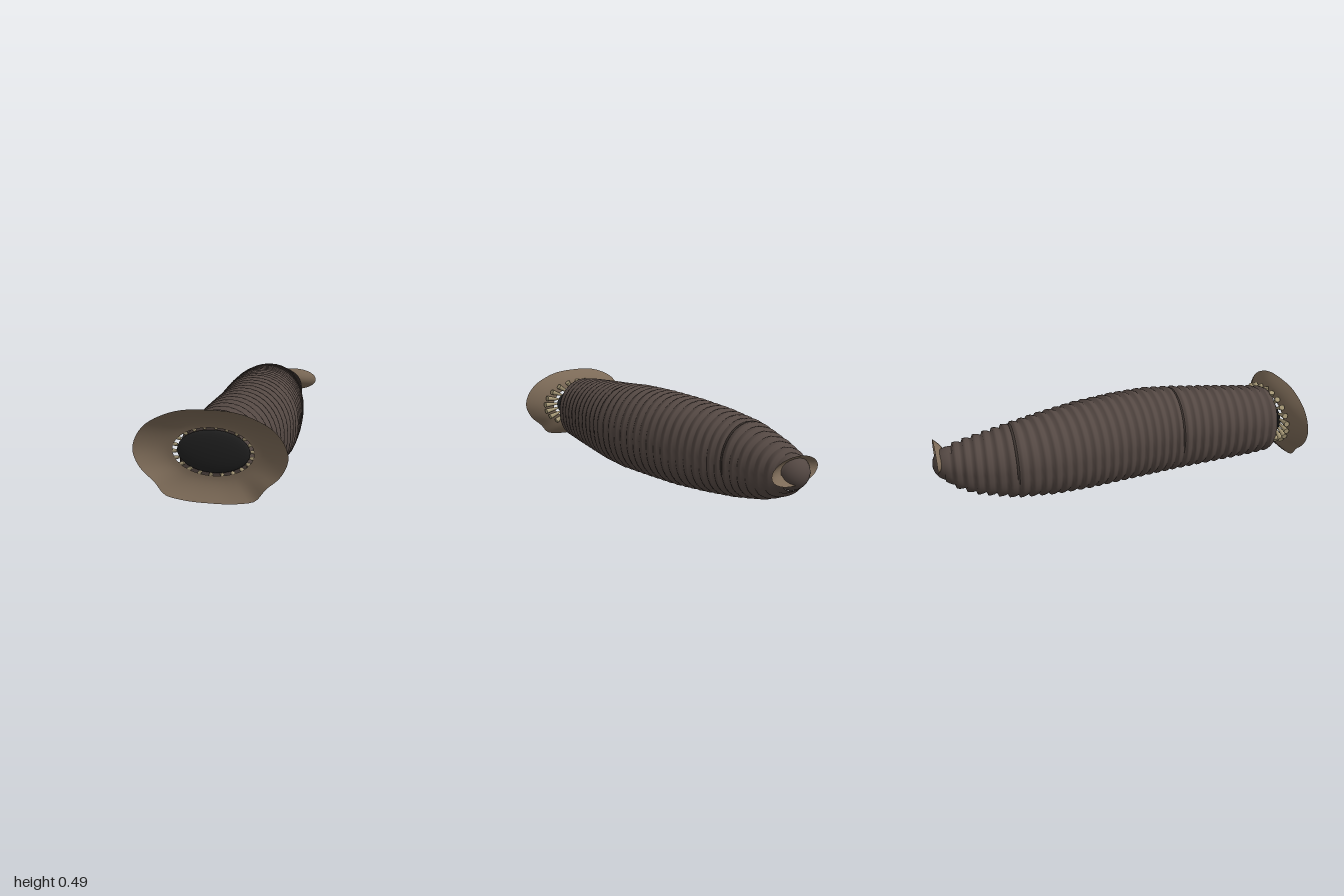
import * as THREE from 'three';

const mat = (name, color, side = THREE.FrontSide) => {
  const m = new THREE.MeshStandardMaterial({ color, side });
  m.name = name;
  return m;
};

// Body profile stations: z, centre x, half width, bottom y, top y
const STATIONS = [
  [0.93, 0, 0.165, 0.045, 0.41], [0.8, 0, 0.185, 0.035, 0.43], [0.6, 0.01, 0.2, 0.022, 0.45],
  [0.35, 0.023, 0.215, 0.006, 0.472], [0.2, 0.02, 0.222, 0, 0.485], [0, 0, 0.224, 0, 0.485],
  [-0.2, -0.025, 0.222, 0, 0.475], [-0.4, -0.053, 0.208, 0.01, 0.455], [-0.6, -0.07, 0.184, 0.03, 0.425],
  [-0.8, -0.057, 0.146, 0.075, 0.375], [-0.9, -0.048, 0.115, 0.12, 0.345], [-0.96, -0.045, 0.075, 0.175, 0.315],
];

function station(z) {
  let i = 0;
  while (i < STATIONS.length - 2 && z < STATIONS[i + 1][0]) i++;
  const a = STATIONS[i], b = STATIONS[i + 1];
  const t = THREE.MathUtils.clamp((z - a[0]) / (b[0] - a[0]), 0, 1);
  return a.map((v, k) => v + (b[k] - v) * t);
}

// Skin closed loops (counter-clockwise from the front) running towards -z
function loft(loops, capped = false) {
  const n = loops[0].length, pos = loops.flat(2), index = [];
  for (let r = 0; r < loops.length - 1; r++) {
    for (let i = 0; i < n; i++) {
      const j = (i + 1) % n, a = r * n + i, b = r * n + j, c = a + n, d = b + n;
      index.push(a, c, b, b, c, d);
    }
  }
  if (capped) {
    // separate vertices keep the front cap edge sharp
    const base = pos.length / 3;
    loops[0].forEach((p) => pos.push(...p));
    for (let i = 1; i < n - 1; i++) index.push(base, base + i, base + i + 1);
  }
  const g = new THREE.BufferGeometry();
  g.setAttribute('position', new THREE.Float32BufferAttribute(pos, 3));
  g.setIndex(index);
  g.computeVertexNormals();
  return g;
}

// Ringed body: sawtooth ridges set square to the curved centreline
function bodyGeometry() {
  const loops = [], rings = 36, front = 0.922, back = -0.95, sides = 40;
  const step = (front - back) / rings;
  const saw = [[0, 0.017], [0.25, 0.009], [0.6, 0.002], [0.85, 0]];
  for (let r = 0; r < rings; r++) {
    for (const [f, cut] of saw) {
      const z = front - (r + f) * step;
      const [, cx, hw, lo, hi] = station(z);
      const slope = (station(z + 0.12)[1] - station(z - 0.12)[1]) / 0.24;
      const loop = [];
      for (let i = 0; i < sides; i++) {
        const a = (i / sides) * Math.PI * 2, c = Math.cos(a), s = Math.sin(a);
        const p = s < 0 ? 0.78 : 1; // flatter belly
        const w = hw - cut, h = (hi - lo) / 2 - cut;
        const x = w * Math.sign(c) * Math.abs(c) ** p;
        const y = (lo + hi) / 2 + h * Math.sign(s) * Math.abs(s) ** p;
        loop.push([cx + x, Math.max(0, y), z - slope * x]);
      }
      loops.push(loop);
    }
  }
  return loft(loops, true);
}

// Narrow dark-looking joint grooves are formed as thin bands around the body
function jointGeometry(z) {
  const [, cx, hw, lo, hi] = station(z);
  const g = new THREE.TorusGeometry(1, 0.02, 6, 40);
  g.scale(hw - 0.012, (hi - lo) / 2 - 0.012, 0.35);
  g.translate(cx, (lo + hi) / 2, z);
  return g;
}

// Flared cup between an inner ellipse and a rim outline
function cupGeometry(rim, cx, cy, rx, ry, zIn, zRim) {
  const loops = [], rows = 8;
  for (let r = 0; r <= rows; r++) {
    const t = r / rows;
    loops.push(rim.map(([x, y]) => {
      const a = Math.atan2((y - cy) / ry, (x - cx) / rx);
      return [
        THREE.MathUtils.lerp(cx + rx * Math.cos(a), x, t),
        THREE.MathUtils.lerp(cy + ry * Math.sin(a), y, t),
        zIn + (zRim - zIn) * t ** 1.7,
      ];
    }));
  }
  return loft(zRim > zIn ? loops.reverse() : loops);
}

export function createModel() {
  const model = new THREE.Group();
  model.name = 'ringedWorm';
  const skin = mat('darkBrownSkin', 0x544843);
  const groove = mat('grooveBrown', 0x3a322e);
  const sucker = mat('tanSucker', 0x7d6b58, THREE.DoubleSide);
  const ivory = mat('ivoryTeeth', 0xa89a78);
  const dark = mat('mouthBlack', 0x222222);
  const add = (name, geometry, material, parent = model) => {
    const m = new THREE.Mesh(geometry, material);
    m.name = name;
    parent.add(m);
    return m;
  };

  add('body', bodyGeometry(), skin);
  for (const z of [0.34, -0.59]) add('segmentJoint', jointGeometry(z), groove);

  // Rounded tail end
  const tail = add('tailTip', new THREE.SphereGeometry(0.088, 28, 18), skin);
  tail.position.set(-0.048, 0.243, -0.912);

  // Front sucker, with a pinched lower lip
  const half = [[0.12, 0.453], [0.2, 0.43], [0.28, 0.388], [0.33, 0.33], [0.348, 0.262],
    [0.315, 0.185], [0.25, 0.125], [0.225, 0.092], [0.205, 0.07], [0.11, 0.05]];
  const outline = [[0, 0.046], ...half.slice().reverse(), [0, 0.46], ...half.map(([x, y]) => [-x, y])];
  const curve = new THREE.CatmullRomCurve3(outline.map(([x, y]) => new THREE.Vector3(x, y, 0)), true);
  const rim = curve.getSpacedPoints(72).slice(0, 72).map((p) => [p.x, p.y]);
  add('frontSucker', cupGeometry(rim, 0, 0.26, 0.186, 0.108, 0.937, 1), sucker);

  // Mouth
  const mouth = add('mouth', new THREE.SphereGeometry(1, 40, 16), dark);
  mouth.scale.set(0.167, 0.097, 0.018);
  mouth.position.set(0, 0.26, 0.928);

  // Ring of blunt teeth, wide ends outward
  const teeth = new THREE.Group();
  teeth.name = 'teeth';
  model.add(teeth);
  const count = 22, up = new THREE.Vector3(0, 1, 0);
  for (let i = 0; i < count; i++) {
    const a = (i / count) * Math.PI * 2 + 0.07, c = Math.cos(a), s = Math.sin(a);
    const inner = new THREE.Vector3(0.168 * c, 0.26 + 0.1 * s, 0.927);
    const outer = new THREE.Vector3(0.255 * c, 0.26 + 0.145 * s, 0.922);
    const dir = outer.clone().sub(inner);
    const tooth = add('tooth', new THREE.CylinderGeometry(0.016, 0.007, dir.length(), 8), ivory, teeth);
    tooth.position.copy(inner).add(outer).multiplyScalar(0.5);
    tooth.quaternion.setFromUnitVectors(up, dir.normalize());
  }

  // Small tail sucker
  const tailRim = Array.from({ length: 48 }, (_, i) => {
    const a = (i / 48) * Math.PI * 2;
    return [-0.003 + 0.149 * Math.cos(a), 0.27 + 0.07 * Math.sin(a)];
  });
  add('tailSucker', cupGeometry(tailRim, -0.003, 0.27, 0.03, 0.015, -0.93, -0.98), sucker);

  return model;
}
